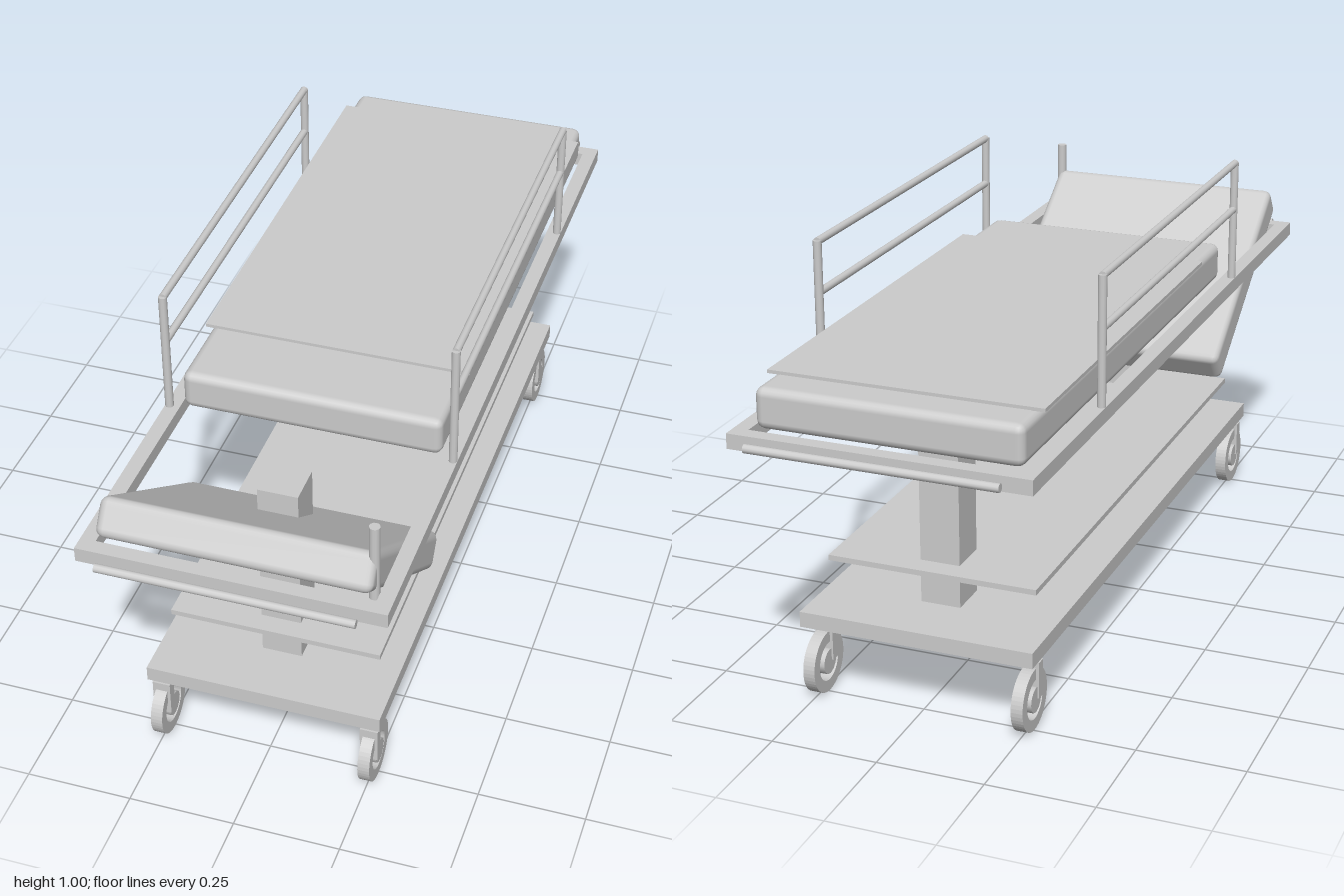
import * as THREE from 'three';
import { RoundedBoxGeometry } from 'three/addons/geometries/RoundedBoxGeometry.js';

export function createModel() {
  const group = new THREE.Group();
  const grey = new THREE.MeshStandardMaterial({ color: 0xcccccc });
  grey.name = 'pale grey';

  const add = (name, geometry, x, y, z, parent = group) => {
    const mesh = new THREE.Mesh(geometry, grey);
    mesh.name = name;
    mesh.position.set(x, y, z);
    parent.add(mesh);
    return mesh;
  };
  const box = (name, w, h, d, x, y, z, parent) =>
    add(name, new THREE.BoxGeometry(w, h, d), x, y, z, parent);
  // Round bar along the given axis
  const bar = (name, axis, radius, length, x, y, z, parent) => {
    const g = new THREE.CylinderGeometry(radius, radius, length, 12);
    if (axis === 'x') g.rotateZ(Math.PI / 2);
    if (axis === 'z') g.rotateX(Math.PI / 2);
    return add(name, g, x, y, z, parent);
  };

  // Base, shelf and lifting columns
  box('base', 0.557, 0.037, 1.59, 0, 0.194, 0);
  box('shelf', 0.5, 0.013, 1.4, 0, 0.309, 0);
  for (const z of [0.605, -0.6]) box('column', 0.095, 0.475, 0.096, 0, 0.4475, z);

  // Open bed frame with a push handle at each end
  for (const s of [1, -1]) {
    box('frameSide', 0.035, 0.035, 1.92, s * 0.3285, 0.6755, 0);
    box('frameEnd', 0.622, 0.035, 0.035, 0, 0.6755, s * 0.9425);
    bar('pushHandle', 'x', 0.01, 0.575, 0, 0.679, s * 0.99);
  }

  // Mattress, sheet and tilted backrest
  add('mattress', new RoundedBoxGeometry(0.612, 0.095, 1.34, 2, 0.02), 0, 0.736, -0.24);
  box('sheet', 0.636, 0.008, 1.06, 0, 0.787, -0.29);
  const backrest = add('backrest', new RoundedBoxGeometry(0.612, 0.09, 0.58, 2, 0.02), 0, 0.598, 0.687);
  backrest.rotation.x = -THREE.MathUtils.degToRad(35);
  bar('polePost', 'y', 0.012, 0.19, 0.298, 0.772, 0.897);

  // Side rails
  for (const s of [1, -1]) {
    const rail = new THREE.Group();
    rail.name = 'sideRail';
    rail.position.x = s * 0.336;
    for (const z of [0.437, -0.531]) bar('railPost', 'y', 0.01, 0.315, 0, 0.836, z, rail);
    bar('railTop', 'z', 0.009, 0.97, 0, 0.991, -0.047, rail);
    bar('railMiddle', 'z', 0.009, 0.97, 0, 0.872, -0.047, rail);
    group.add(rail);
  }

  // Casters: flat tyre ring, hub and offset fork
  const ring = new THREE.Shape();
  ring.absarc(0, 0, 0.073, 0, Math.PI * 2, false);
  const hole = new THREE.Path();
  hole.absarc(0, 0, 0.046, 0, Math.PI * 2, true);
  ring.holes.push(hole);
  const tyre = new THREE.ExtrudeGeometry(ring, { depth: 0.028, bevelEnabled: false, curveSegments: 24 });
  tyre.translate(0, 0, -0.014);
  tyre.rotateY(Math.PI / 2);
  for (const x of [0.25, -0.25]) {
    for (const z of [0.753, -0.744]) {
      const caster = new THREE.Group();
      caster.name = 'caster';
      caster.position.set(x, 0.073, z);
      add('tyre', tyre, 0, 0, 0, caster);
      bar('hub', 'x', 0.03, 0.034, 0, 0, 0, caster);
      box('fork', 0.042, 0.087, 0.024, 0, 0.0435, 0.02, caster);
      group.add(caster);
    }
  }
  return group;
}
